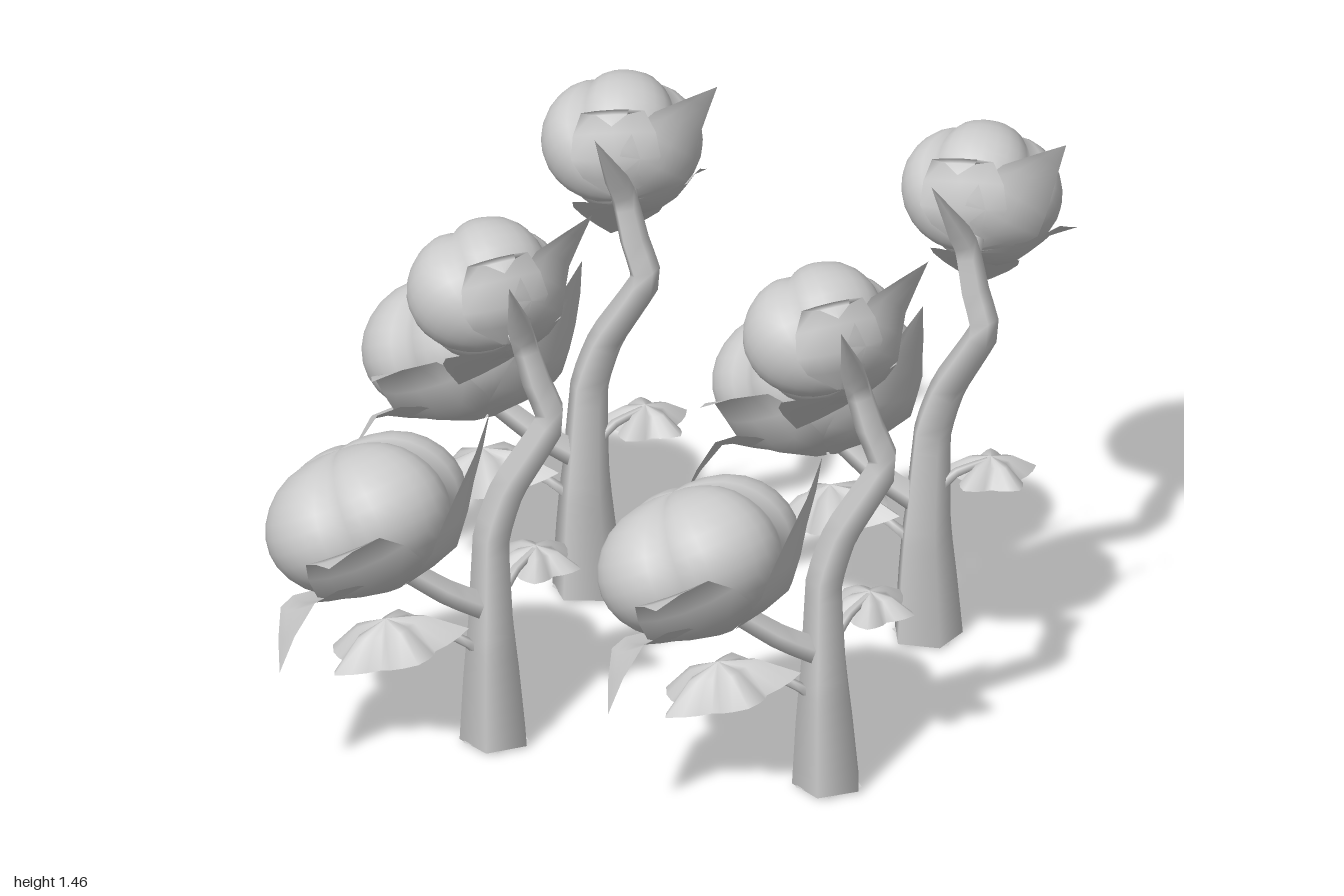
import * as THREE from 'three';

const V = (x, y, z) => new THREE.Vector3(x, y, z);
const solid = new THREE.MeshStandardMaterial({ color: 0xcccccc });
const thin = new THREE.MeshStandardMaterial({ color: 0xcccccc, side: THREE.DoubleSide });

function add(parent, name, geometry, material) {
  const mesh = new THREE.Mesh(geometry, material);
  mesh.name = name;
  parent.add(mesh);
  return mesh;
}

// Tube along points whose radius follows the given list
function taperedTube(points, radii, segments, sides) {
  const curve = new THREE.CatmullRomCurve3(points, false, 'catmullrom', 0.2);
  const geo = new THREE.TubeGeometry(curve, segments, 1, sides);
  const pos = geo.attributes.position;
  const v = V(0, 0, 0);
  for (let i = 0; i <= segments; i++) {
    const c = curve.getPointAt(i / segments);
    const f = (i / segments) * (radii.length - 1);
    const k = Math.min(Math.floor(f), radii.length - 2);
    const r = THREE.MathUtils.lerp(radii[k], radii[k + 1], f - k);
    for (let j = 0; j <= sides; j++) {
      const n = i * (sides + 1) + j;
      v.fromBufferAttribute(pos, n).sub(c).multiplyScalar(r).add(c);
      pos.setXYZ(n, v.x, v.y, v.z);
    }
  }
  return geo;
}

// Grid of rows joined into one surface
function loft(rows) {
  const w = rows[0].length;
  const index = [];
  for (let i = 0; i < rows.length - 1; i++)
    for (let j = 0; j < w - 1; j++) {
      const a = i * w + j;
      index.push(a, a + 1, a + w, a + 1, a + w + 1, a + w);
    }
  const geo = new THREE.BufferGeometry().setFromPoints(rows.flat());
  geo.setIndex(index);
  geo.computeVertexNormals();
  return geo;
}

// Unit ball with four puffy lobes around y, the grooves meeting on top
function lobedBall() {
  const geo = new THREE.SphereGeometry(1, 40, 16);
  const pos = geo.attributes.position;
  const v = V(0, 0, 0);
  for (let i = 0; i < pos.count; i++) {
    v.fromBufferAttribute(pos, i);
    const ring = Math.hypot(v.x, v.z);
    const lobe = Math.abs(Math.sin(Math.atan2(v.z, v.x) * 2));
    const groove = 0.2 * (1 - lobe) ** 1.6 * ring * (0.75 + 0.25 * v.y);
    const dimple = v.y > 0 ? 0.12 * Math.max(0, 1 - ring * 1.6) : 0;
    v.multiplyScalar(1.04 - groove - dimple);
    pos.setXYZ(i, v.x, v.y, v.z);
  }
  geo.computeVertexNormals();
  return geo;
}

// Sepal that cups the unit ball from its base, then flares out to a pointed tip;
// rise is the height at which it leaves the ball
function sepal(tip, rise) {
  const u = V(tip.x, 0, tip.z).normalize();
  const side = V(-u.z, 0, u.x);
  const at = (out, up) => u.clone().multiplyScalar(out).add(V(0, up, 0));
  const path = new THREE.CatmullRomCurve3(
    [at(0.1, -1.08), at(0.72, -0.85), at(1.1, rise), tip], false, 'catmullrom', 0.4);
  const widths = [0.08, 0.5, 0.68, 0.62, 0.44, 0.2, 0];
  return loft(widths.map((w, i) => {
    const p = path.getPoint(i / (widths.length - 1));
    const len = p.length();
    return [-1, -0.5, 0, 0.5, 1].map((s) =>
      p.clone().addScaledVector(side, s * w).setLength(len));
  }));
}

// Boll: lobed ball in a cup of sepals, each given as [tip, rise]
function boll(name, centre, axis, axial, radial, sepals) {
  const group = new THREE.Group();
  group.name = name;
  group.position.copy(centre);
  group.quaternion.setFromUnitVectors(V(0, 1, 0), axis.clone().normalize());
  group.scale.set(radial, axial, radial);
  group.updateMatrixWorld(true);
  add(group, 'fluff', lobedBall(), solid);
  for (const [tip, rise] of sepals) add(group, 'sepal', sepal(group.worldToLocal(tip), rise), thin);
  return group;
}

// Drooping leaf with five pointed lobes
function leafGeometry() {
  const geo = new THREE.RingGeometry(0.001, 1, 30, 2);
  const pos = geo.attributes.position;
  for (let i = 0; i < pos.count; i++) {
    const x = pos.getX(i), y = pos.getY(i), r = Math.hypot(x, y);
    const turns = (Math.atan2(y, x) / (2 * Math.PI) + 1) * 5;
    const lobe = Math.abs(1 - 2 * (turns - Math.floor(turns)));
    const k = 0.65 + 0.35 * lobe;
    pos.setXYZ(i, x * k, 0.2 - 0.4 * r * r + 0.06 * lobe * r, -y * k);
  }
  geo.computeVertexNormals();
  return geo;
}

function leaf(parent, centre, scale, yaw, tilt) {
  const mesh = add(parent, 'leaf', leafGeometry(), thin);
  mesh.position.copy(centre);
  mesh.rotation.set(0, yaw, tilt, 'YXZ');
  mesh.scale.set(...scale);
}

function plant() {
  const g = new THREE.Group();
  g.name = 'cottonPlant';

  // Stem ending in a sharp spike, and its flat foot
  add(g, 'stem', taperedTube(
    [V(0, 0, 0), V(-0.01, 0.3, -0.005), V(-0.02, 0.6, -0.035), V(0.02, 0.75, -0.06),
      V(0.13, 0.95, -0.095), V(0.09, 1.06, -0.095), V(0.05, 1.19, -0.095), V(0.04, 1.4, 0.015)],
    [0.1, 0.085, 0.066, 0.056, 0.051, 0.046, 0.042, 0.035, 0], 32, 5), solid);
  const foot = add(g, 'stemFoot', new THREE.CircleGeometry(0.095, 5), thin);
  foot.rotation.x = Math.PI / 2;
  foot.position.y = 0.002;

  // Stalks to the bolls and the leaves
  const stalk = (pts, r0, r1) => add(g, 'stalk', taperedTube(pts, [r0, r1], 6, 5), solid);
  stalk([V(-0.01, 0.39, -0.01), V(-0.12, 0.46, 0.06), V(-0.25, 0.56, 0.12)], 0.04, 0.032);
  stalk([V(0.065, 1.14, -0.095), V(0.03, 1.15, -0.14), V(-0.02, 1.17, -0.2)], 0.032, 0.026);
  stalk([V(-0.02, 0.24, 0), V(-0.08, 0.31, 0.04), V(-0.2, 0.36, 0.09)], 0.018, 0.01);
  stalk([V(0, 0.42, -0.02), V(0.03, 0.48, -0.08), V(0.06, 0.5, -0.17)], 0.018, 0.01);

  // Bolls
  g.add(boll('lowerBoll', V(-0.34, 0.695, 0.1), V(-0.45, 0.85, -0.2), 0.205, 0.278, [
    [V(-0.48, 0.37, 0.465), -0.75], [V(-0.32, 0.75, 0.535), -0.2],
    [V(-0.02, 1, -0.005), -0.15], [V(-0.38, 0.57, -0.2), -0.15]]));
  g.add(boll('upperBoll', V(-0.115, 1.22, -0.295), V(-0.5, 0.52, -0.64), 0.178, 0.212, [
    [V(0.17, 1.455, -0.355), -0.2], [V(-0.01, 1.37, -0.12), -0.2],
    [V(-0.04, 1.04, -0.575), -0.2], [V(-0.21, 0.87, -0.365), -0.7]]));

  // Leaves
  leaf(g, V(-0.27, 0.33, 0.1), [0.21, 0.26, 0.15], 0.3, 0.25);
  leaf(g, V(0.06, 0.48, -0.18), [0.13, 0.15, 0.13], 1.2, 0);
  return g;
}

export function createModel() {
  const model = new THREE.Group();
  model.name = 'cottonPlants';
  // x, z, turn in degrees
  const spots = [[-0.34, 0.465, 0], [0.6, 0.465, -2], [-0.34, -0.43, -23], [0.62, -0.43, -34]];
  for (const [x, z, turn] of spots) {
    const p = plant();
    p.position.set(x, 0, z);
    p.rotation.y = THREE.MathUtils.degToRad(turn);
    model.add(p);
  }
  return model;
}
